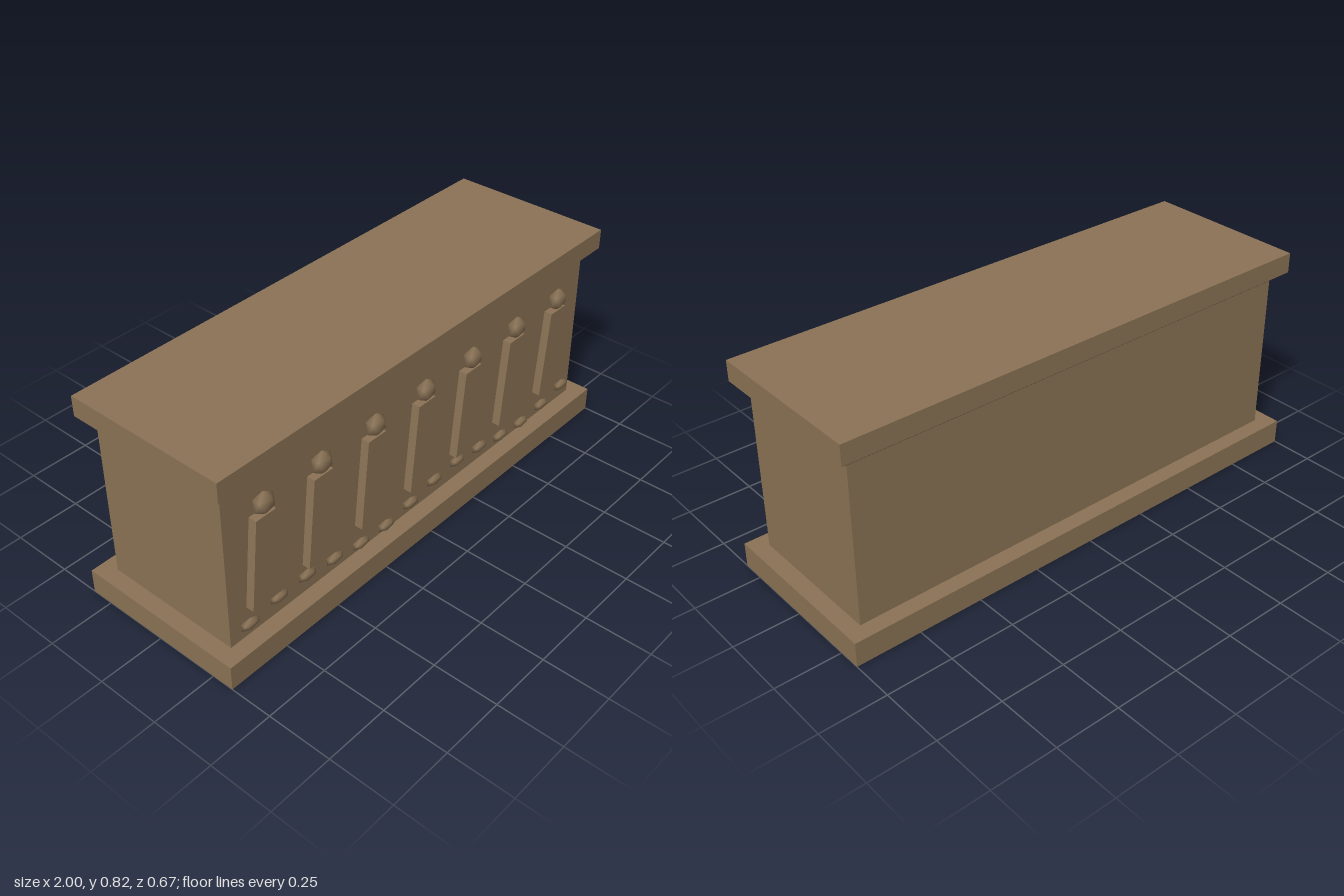
import * as THREE from 'three';
import { mergeVertices } from 'three/addons/utils/BufferGeometryUtils.js';

export function createModel() {
  const model = new THREE.Group();
  model.name = 'carvedStoneChest';
  const stone = new THREE.MeshStandardMaterial({ color: 0x8b7355 });
  stone.name = 'brownStone';

  function add(name, geometry, x, y, z, parent = model) {
    const mesh = new THREE.Mesh(geometry, stone);
    mesh.name = name;
    mesh.position.set(x, y, z);
    parent.add(mesh);
    return mesh;
  }

  // Block between two heights
  function block(name, width, depth, y0, y1) {
    return add(name, new THREE.BoxGeometry(width, y1 - y0, depth), 0, (y0 + y1) / 2, 0);
  }

  // Smooth faceted lump with a vertex pointing straight up
  function lump(sx, sy, sz) {
    const raw = new THREE.IcosahedronGeometry(1, 0);
    raw.rotateZ(-Math.atan(2 / (1 + Math.sqrt(5))));
    raw.scale(sx, sy, sz);
    raw.deleteAttribute('normal');
    raw.deleteAttribute('uv');
    const smooth = mergeVertices(raw, 1e-5);
    smooth.computeVertexNormals();
    return smooth;
  }

  // Plinth, chest and lid slab
  block('plinth', 2, 0.672, 0, 0.095);
  block('chestBody', 1.876, 0.548, 0.095, 0.705);
  block('lidSlab', 1.966, 0.642, 0.743, 0.82);

  // Sloping moulding under the lid: a box narrowed at its bottom
  const moulding = block('lidMoulding', 1.966, 0.642, 0.705, 0.743).geometry;
  const p = moulding.attributes.position;
  for (let i = 0; i < p.count; i++) {
    if (p.getY(i) < 0) {
      p.setX(i, Math.sign(p.getX(i)) * 0.938);
      p.setZ(i, Math.sign(p.getZ(i)) * 0.274);
    }
  }
  moulding.computeVertexNormals();

  // Row of robed figures in relief on the front
  const robeShape = new THREE.Shape([
    new THREE.Vector2(-0.077, 0.217), new THREE.Vector2(0.077, 0.217),
    new THREE.Vector2(0.043, 0.567), new THREE.Vector2(-0.043, 0.567),
  ]);
  const robe = new THREE.ExtrudeGeometry(robeShape, { depth: 0.034, bevelEnabled: false });
  const head = lump(0.045, 0.045, 0.0282);
  for (let i = 0; i < 7; i++) {
    const figure = new THREE.Group();
    figure.name = 'reliefFigure';
    figure.position.x = -0.784 + i * 0.258;
    add('robe', robe, 0, 0, 0.272, figure);
    add('head', head, 0, 0.612, 0.298, figure);
    model.add(figure);
  }

  // Wavy row of pebbles below the figures
  const pebble = lump(0.043, 0.022, 0.0165);
  for (let i = 0; i < 14; i++) {
    add('pebble', pebble, -0.863 + i * 0.1328, 0.159 + 0.025 * Math.sin(i), 0.29);
  }

  return model;
}
